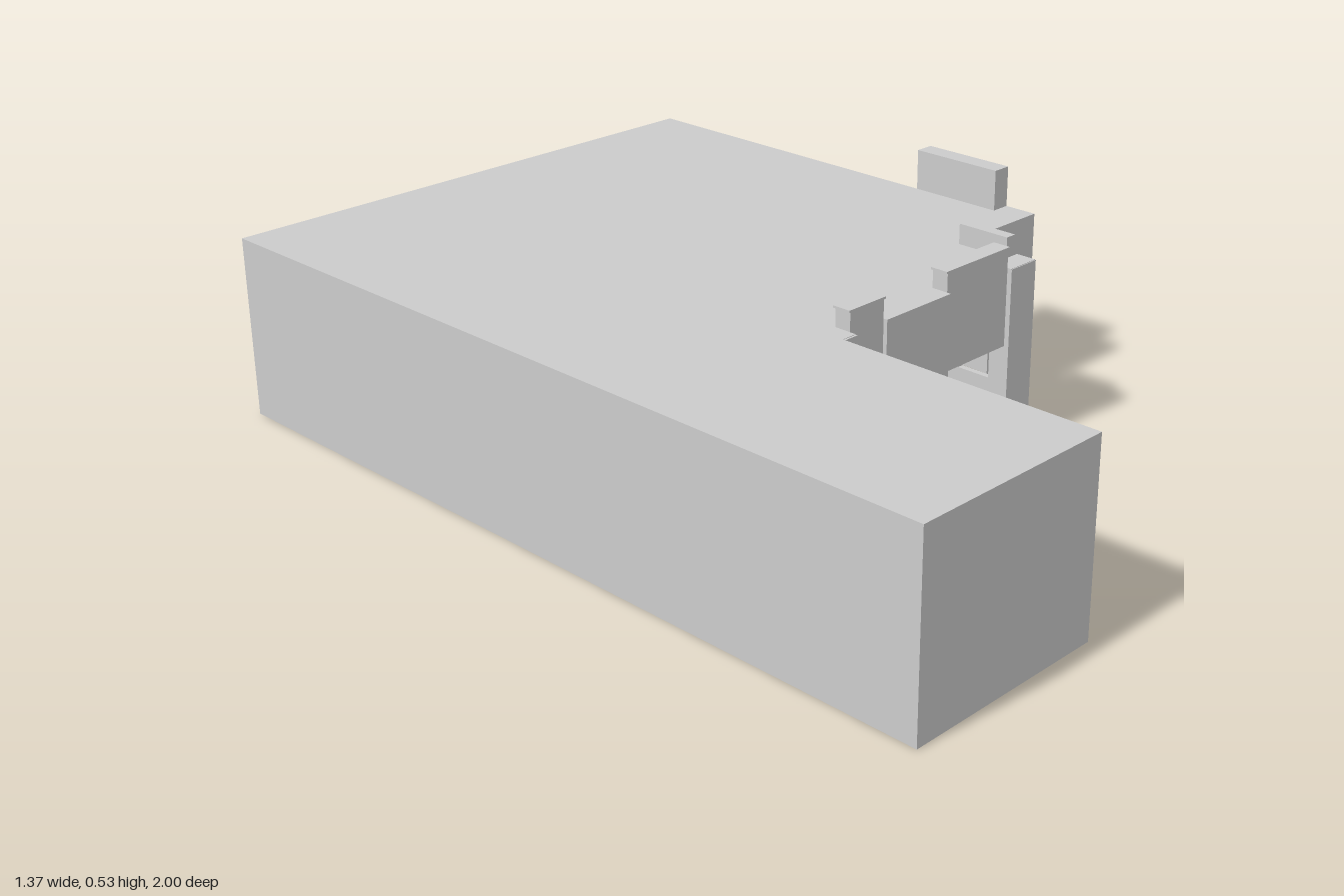
import * as THREE from 'three';

const H = 0.432; // roof height

export function createModel() {
  const model = new THREE.Group();
  const mat = new THREE.MeshStandardMaterial({ color: 0xcccccc, side: THREE.DoubleSide, flatShading: true });

  const add = (name, geo) => {
    const mesh = new THREE.Mesh(geo, mat);
    mesh.name = name;
    model.add(mesh);
    return mesh;
  };

  // Box given by its limits on each axis
  const box = (name, x0, x1, y0, y1, z0, z1) =>
    add(name, new THREE.BoxGeometry(x1 - x0, y1 - y0, z1 - z0))
      .position.set((x0 + x1) / 2, (y0 + y1) / 2, (z0 + z1) / 2);

  // Upright wall from a to b, outer face on the line, with holes [u0, u1, y0, y1]
  const wall = (name, [ax, az], [bx, bz], y0 = 0, y1 = H, holes = [], t = 0.004) => {
    const len = Math.hypot(bx - ax, bz - az);
    const rect = (P, u0, u1, v0, v1) =>
      new P([[u0, v0], [u1, v0], [u1, v1], [u0, v1]].map(([u, v]) => new THREE.Vector2(u, v)));
    const shape = rect(THREE.Shape, 0, len, y0, y1);
    for (const h of holes) shape.holes.push(rect(THREE.Path, ...h));
    const geo = new THREE.ExtrudeGeometry(shape, { depth: t, bevelEnabled: false });
    geo.translate(0, 0, -t);
    const mesh = add(name, geo);
    mesh.position.set(ax, 0, az);
    mesh.rotation.y = Math.atan2(az - bz, bx - ax);
  };

  // Roof slab following the stepped footprint
  const outline = [
    [-0.688, -1], [0.638, -1], [0.638, -0.135], [0.685, -0.135], [0.685, 0.182], [0.43, 0.182],
    [0.43, 0.32], [0.44, 0.32], [0.44, 0.37], [0.355, 0.37], [0.355, 0.36], [0.15, 0.36],
    [0.15, 0.37], [-0.053, 0.37], [-0.053, 0.36], [-0.155, 0.36], [-0.155, 0.375],
    [-0.193, 0.375], [-0.193, 1], [-0.688, 1],
  ];
  const roof = new THREE.ExtrudeGeometry(
    new THREE.Shape(outline.map(([x, z]) => new THREE.Vector2(x, -z))),
    { depth: 0.004, bevelEnabled: false });
  roof.rotateX(-Math.PI / 2).translate(0, H - 0.003, 0);
  add('roof', roof);

  // Plain outer walls
  wall('backWall', [0.638, -1], [-0.688, -1]);
  wall('leftSideWall', [-0.688, -1], [-0.688, 1]);
  wall('wingFrontWall', [-0.688, 1], [-0.193, 1]);
  wall('rightSideWall', [0.638, -0.135], [0.638, -1]);

  // Wing wall with two windows, a doorway and its canopy
  wall('wingInnerWall', [-0.193, 1], [-0.193, 0.475], 0, H,
    [[0.222, 0.275, 0.07, 0.175], [0.335, 0.387, 0.07, 0.175]], 0.014);
  wall('doorHeader', [-0.193, 0.475], [-0.193, 0.38], 0.197, H, [], 0.014);
  box('doorCanopy', -0.195, -0.15, 0.197, 0.29, 0.378, 0.523);

  // Facade piers
  box('wingCornerPier', -0.193, -0.155, 0, H, 0.345, 0.38);
  box('centrePier', -0.053, 0.15, 0, H, 0.33, 0.37);
  box('cornerPier', 0.355, 0.44, 0, H, 0.32, 0.372);

  // Window bays: low wall, open band, header and capped parapet
  for (const [x0, x1] of [[-0.155, -0.053], [0.15, 0.355]]) {
    wall('baySill', [x0, 0.36], [x1, 0.36], 0, 0.13, [], 0.015);
    wall('bayHeader', [x0, 0.36], [x1, 0.36], 0.25, H, [], 0.015);
    box('bayParapet', x0, x1, H, 0.476, 0.32, 0.36);
    box('parapetCap', x0 - 0.005, x1 + 0.003, 0.476, 0.481, 0.318, 0.362);
  }
  wall('sideBaySill', [0.43, 0.32], [0.43, 0.187], 0, 0.13, [], 0.015);
  wall('sideBayHeader', [0.43, 0.32], [0.43, 0.187], 0.25, H, [], 0.015);
  box('sideBayParapet', 0.402, 0.43, H, 0.481, 0.187, 0.32);

  // Recessed entrance under an overhang
  box('entrancePost', 0.415, 0.43, 0, H, 0.1, 0.187);
  box('entranceJamb', 0.43, 0.457, 0, 0.25, 0.1, 0.11);
  box('entranceOverhang', 0.43, 0.685, 0.25, H, 0.1, 0.182);

  // Right end wall with two windows, its returns and raised parapet
  wall('endWall', [0.685, 0.1], [0.685, -0.135], 0, H,
    [[0.058, 0.102, 0.14, 0.227], [0.14, 0.185, 0.14, 0.227]], 0.014);
  wall('endWallFront', [0.63, 0.105], [0.685, 0.105], 0, 0.25, [], 0.01);
  wall('endWallBack', [0.685, -0.135], [0.638, -0.135]);
  box('endParapet', 0.638, 0.685, H, 0.53, -0.135, 0.1);

  return model;
}
